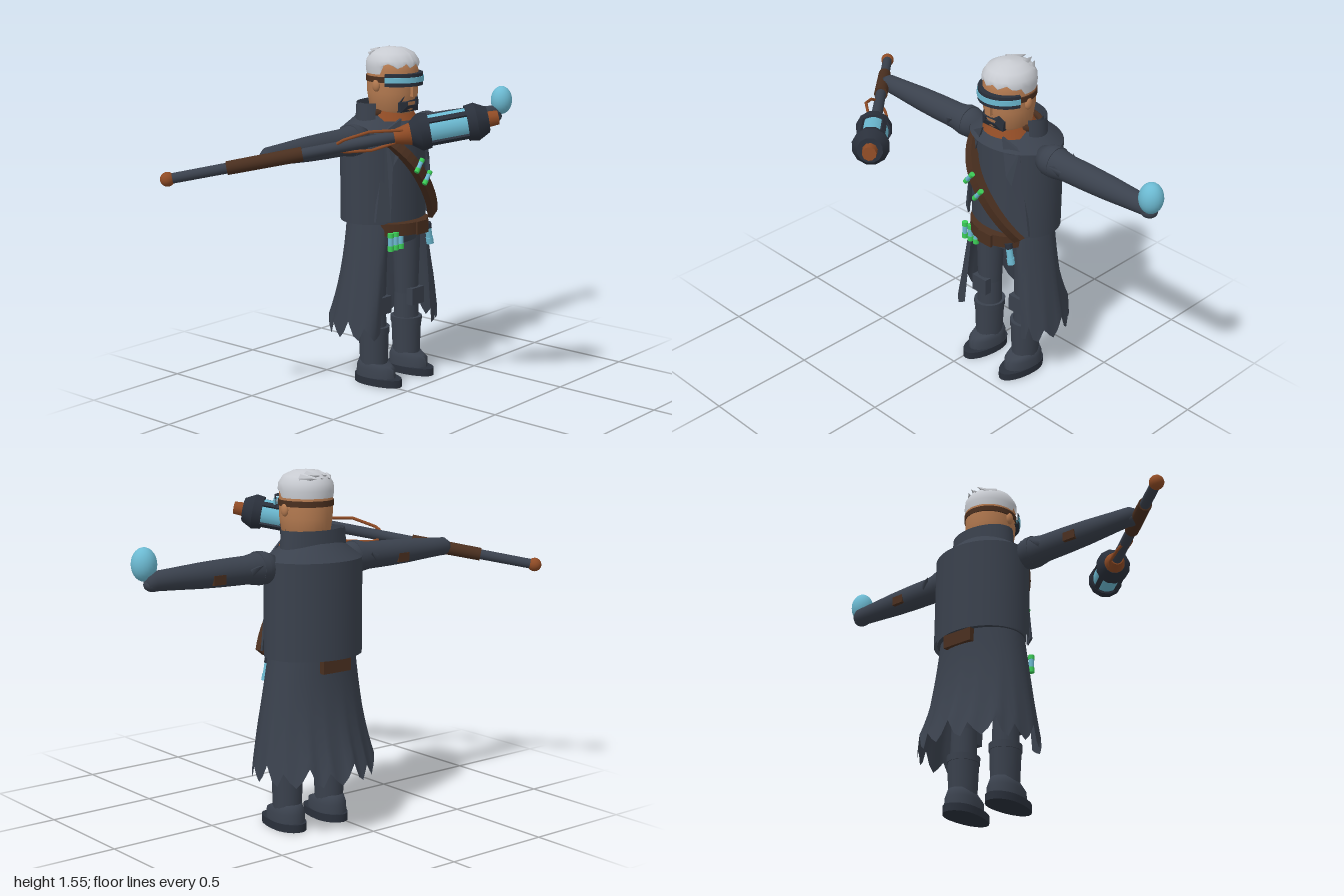
import * as THREE from 'three';

export function createModel() {
  const root = new THREE.Group();
  const mat = (name, color, side = THREE.FrontSide) => {
    const m = new THREE.MeshStandardMaterial({ color, side });
    m.name = name;
    return m;
  };
  const cloth = mat('slate cloth', 0x3a414d, THREE.DoubleSide);
  const metal = mat('dark metal', 0x2a303b);
  const skin = mat('skin', 0xb47a50);
  const copper = mat('copper', 0x8f4b25);
  const leather = mat('leather', 0x4a2f1f);
  const cyan = mat('cyan glow', 0x6cbad2);
  const green = mat('green glow', 0x3ccf58);
  const white = mat('silver hair', 0xc8cbd1, THREE.DoubleSide);

  const CX = 0.135, CZ = -0.25; // body axis
  const add = (name, geo, material, x = 0, y = 0, z = 0, parent = root) => {
    const m = new THREE.Mesh(geo, material);
    m.name = name;
    m.position.set(x, y, z);
    parent.add(m);
    return m;
  };
  const lathe = (pts, seg = 32) => new THREE.LatheGeometry(pts.map(p => new THREE.Vector2(...p)), seg);
  const box = (w, h, d) => new THREE.BoxGeometry(w, h, d);
  const cyl = (a, b, h, seg = 20, open = false, start = 0, len = Math.PI * 2) =>
    new THREE.CylinderGeometry(a, b, h, seg, 1, open, start, len);
  const ball = (rx, ry, rz) => new THREE.SphereGeometry(1, 20, 14).scale(rx, ry, rz);
  const warp = (geo, fn) => {
    const p = geo.attributes.position, v = new THREE.Vector3();
    for (let i = 0; i < p.count; i++) {
      fn(v.fromBufferAttribute(p, i));
      p.setXYZ(i, v.x, v.y, v.z);
    }
    geo.computeVertexNormals();
    return geo;
  };

  // Upper coat: vest, open shell over it, sloping yoke
  add('vest', cyl(0.21, 0.21, 0.41, 40).scale(1, 1, 0.82), cloth, CX, 0.975, CZ);
  add('coatShell', cyl(0.227, 0.227, 0.415, 40, true, 0.75, Math.PI * 2 - 1.5).scale(1, 1, 0.8), cloth, CX, 0.973, CZ);
  add('yoke', cyl(0.13, 0.225, 0.07, 40).scale(1, 1, 0.8), cloth, CX, 1.215, CZ);
  for (const s of [-1, 1]) {
    const lapel = new THREE.Shape([[0.06, 1.24], [0.14, 1.19], [0.195, 0.78], [0.14, 0.78], [0.13, 1.03], [0.105, 1.07]]
      .map(([x, y]) => new THREE.Vector2(s * x, y)));
    const geo = warp(new THREE.ExtrudeGeometry(lapel, { depth: 0.012, bevelEnabled: false }),
      v => { v.z += 0.178 * Math.sqrt(1 - (v.x / 0.24) ** 2) - (v.y > 1.18 ? 0.03 : 0); });
    add('lapel', geo, cloth, CX, 0, CZ);
  }
  // High collar, open at the front
  add('collar', cyl(0.155, 0.165, 0.13, 36, true, 0.95, Math.PI * 2 - 1.9).scale(1, 1, 0.64), cloth, CX, 1.24, CZ);
  add('collarInner', cyl(0.138, 0.148, 0.13, 36, true, 0.95, Math.PI * 2 - 1.9).scale(1, 1, 0.6), cloth, CX, 1.238, CZ);
  add('collarLining', new THREE.TorusGeometry(0.125, 0.018, 8, 32).rotateX(Math.PI / 2).scale(1, 1, 0.65), leather, CX, 1.26, CZ);
  add('scarf', cyl(0.085, 0.125, 0.07, 28), copper, CX, 1.262, -0.215);

  // Long skirt with an open front and torn hem
  const SEG = 44, gap = 0.72, H = 0.54;
  const skirt = new THREE.CylinderGeometry(1, 1, 1, SEG, 8, true, gap, Math.PI * 2 - gap * 2);
  warp(skirt, v => {
    const t = 0.5 - v.y, a = Math.atan2(v.x, v.z);
    const k = Math.round(((a + Math.PI * 2) % (Math.PI * 2) - gap) / (Math.PI * 2 - gap * 2) * SEG);
    const tear = [0, 0.03, 0.085, 0.02, 0, 0.06, 0.025][k % 7] * (Math.abs(a) < 0.9 ? 0.3 : 1);
    v.x *= 0.2 + 0.08 * t;
    v.z = v.z > 0 ? Math.min(v.z * (0.18 + 0.06 * t), 0.13) : v.z * (0.15 + 0.095 * t * t);
    v.y = 0.775 - t * H + tear * t * t;
  });
  add('coatSkirt', skirt, cloth, CX, 0, CZ);

  // Belt, buckle and rear pouch
  add('belt', cyl(0.18, 0.18, 0.055, 36).scale(1, 1, 0.99), leather, CX, 0.738, -0.222);
  add('buckle', box(0.08, 0.06, 0.012), leather, CX + 0.02, 0.738, -0.042);
  add('rearPouch', box(0.15, 0.06, 0.05), leather, CX, 0.738, -0.39);
  add('hips', cyl(0.165, 0.15, 0.08, 28).scale(1, 1, 0.7), cloth, CX, 0.7, -0.222);

  // Vials hanging from the belt
  const vial = (x, y, z, tilt, capped = true, size = 1) => {
    const g = new THREE.Group();
    g.name = 'vial';
    g.position.set(x, y, z);
    g.rotation.z = tilt;
    g.scale.setScalar(size);
    add('vialGlass', cyl(0.012, 0.012, 0.045, 12), cyan, 0, 0, 0, g);
    add('vialBase', cyl(0.014, 0.014, 0.024, 12), capped ? green : cyan, 0, -0.03, 0, g);
    add('vialCap', cyl(0.014, 0.014, 0.02, 12), capped ? green : metal, 0, 0.03, 0, g);
    root.add(g);
  };
  for (const x of [-0.015, 0.02, 0.055]) vial(x, 0.69, -0.085, 0);
  vial(0.262, 0.685, -0.09, 0.2, false, 1.25);

  // Diagonal bandolier bowed over the chest
  const strapShape = new THREE.Shape();
  strapShape.moveTo(-0.275, -0.17);
  strapShape.quadraticCurveTo(-0.18, -0.012, 0, -0.012);
  strapShape.quadraticCurveTo(0.16, -0.02, 0.275, -0.09);
  strapShape.lineTo(0.275, -0.12);
  strapShape.quadraticCurveTo(0.16, -0.055, 0, -0.055);
  strapShape.quadraticCurveTo(-0.16, -0.055, -0.25, -0.18);
  const along = new THREE.Vector3(0.34, -0.43, 0).normalize();
  const strapGeo = new THREE.ExtrudeGeometry(strapShape, { depth: 0.046, bevelEnabled: false, curveSegments: 10 }).translate(0, 0, -0.023);
  strapGeo.applyMatrix4(new THREE.Matrix4().makeBasis(along, new THREE.Vector3(0, 0, 1), new THREE.Vector3(along.y, -along.x, 0)));
  add('bandolier', strapGeo, leather, CX, 0.98, 0);
  vial(0.09, 1.035, -0.004, -0.67, true, 0.85);
  vial(0.145, 0.972, -0.004, -0.67, true, 0.85);

  // Outstretched arms and legs, mirrored about the body axis
  for (const s of [-1, 1]) {
    const arm = lathe([[0, 0.17], [0.05, 0.185], [0.068, 0.23], [0.07, 0.27], [0.06, 0.33], [0.058, 0.45],
      [0.054, 0.56], [0.045, 0.7], [0.04, 0.79], [0.025, 0.815], [0, 0.82]], 24).rotateZ(-s * Math.PI / 2);
    add('arm', arm, cloth, CX, 1.153, -0.215);
    add('shoulderCuff', cyl(0.071, 0.071, 0.03, 24).rotateZ(Math.PI / 2), cloth, CX + s * 0.262, 1.155, -0.215);
    add('elbowPatch', box(0.06, 0.04, 0.03), leather, CX + s * 0.5, 1.135, -0.258);
    for (const d of [-1, 1]) {
      const fin = add('sleeveFin', new THREE.ConeGeometry(0.022, 0.06, 4), cloth, CX + s * 0.315, 1.165, -0.215 + d * 0.062);
      fin.rotation.set(d * 0.9, 0, s * 0.8);
    }
    add('hand', ball(0.04, 0.03, 0.035), cloth, CX + s * 0.785, 1.14, -0.21);

    const x = CX + s * 0.117;
    add('thigh', cyl(0.07, 0.055, 0.42, 20), cloth, x, 0.56, -0.218);
    add('shin', cyl(0.055, 0.06, 0.2, 20), cloth, x, 0.34, -0.218);
    add('kneePad', box(0.085, 0.08, 0.04), cloth, x, 0.375, -0.165);
    add('bootShaft', cyl(0.067, 0.06, 0.2, 20).scale(1, 1, 1.1), cloth, x, 0.17, -0.218);
    add('bootCuff', cyl(0.071, 0.07, 0.03, 20).scale(1, 1, 1.08), cloth, x, 0.255, -0.218);
    const upper = lathe([[0.068, 0.03], [0.067, 0.075], [0.055, 0.115], [0, 0.12]], 24);
    warp(upper, v => {
      const f = v.z > 0;
      v.z *= f ? 1.85 : 1.25;
      if (f && v.y > 0.07) v.y -= 0.3 * v.z * (v.y > 0.1 ? 1 : 0);
    });
    add('bootUpper', upper, cloth, x, 0, -0.222);
    add('bootSole', warp(cyl(0.069, 0.069, 0.035, 24), v => { v.z *= v.z > 0 ? 2.35 : 1.45; }), metal, x, 0.0175, -0.22);
  }
  add('orb', ball(0.053, 0.069, 0.052), cyan, 0.945, 1.22, -0.187);

  // Head
  const HZ = -0.2;
  add('head', lathe([[0, 1.225], [0.07, 1.235], [0.1, 1.275], [0.111, 1.35], [0.112, 1.45], [0.095, 1.5], [0, 1.53]])
    .scale(1, 1, 1.07), skin, CX, 0, HZ);
  const hair = lathe([[0.114, 1.435], [0.117, 1.465], [0.114, 1.495], [0.095, 1.525], [0.055, 1.545], [0, 1.551]], 36);
  warp(hair, v => {
    if (v.z > 0.02 && v.y < 1.485) v.y = Math.max(v.y, 1.472 + 0.012 * Math.sin(v.x * 110));
    v.z *= 1.06;
  });
  add('hair', hair, white, CX, 0, HZ);
  for (let i = 0; i < 5; i++) {
    const tuft = add('hairTuft', new THREE.ConeGeometry(0.022, 0.075, 5), white,
      CX + (i - 2) * 0.026, 1.517 + (i % 2) * 0.012, HZ - 0.085);
    tuft.rotation.set(-1.5, 0, (i - 2) * 0.25);
  }
  for (const s of [-1, 1]) add('ear', ball(0.014, 0.028, 0.02), skin, CX + s * 0.113, 1.385, HZ);
  add('nose', box(0.03, 0.05, 0.03), skin, CX, 1.36, -0.083);
  add('headband', cyl(0.118, 0.118, 0.025, 36).scale(1, 1, 1.04), leather, CX, 1.412, HZ);

  // Visor curved round the eyes, with a glowing slit
  const arc = (r, h) => cyl(r, r, h, 24, false, -1.2, 2.4).scale(1, 1, 1.16);
  add('visor', arc(0.126, 0.056), metal, CX, 1.411, HZ);
  add('visorSlit', arc(0.129, 0.024), cyan, CX, 1.412, HZ);

  // Goatee with a gap for the mouth
  const beard = new THREE.Shape([[-0.06, 1.265], [-0.065, 1.31], [-0.045, 1.338], [0.045, 1.338], [0.065, 1.31], [0.06, 1.265]]
    .map(p => new THREE.Vector2(...p)));
  beard.holes.push(new THREE.Path([[-0.03, 1.295], [0.03, 1.295], [0.03, 1.312], [-0.03, 1.312]].map(p => new THREE.Vector2(...p))));
  add('goatee', warp(new THREE.ExtrudeGeometry(beard, { depth: 0.055, bevelEnabled: false }),
    v => { v.z -= Math.abs(v.x) * 0.5; }).translate(0, 0, -0.125), metal, CX);

  // Staff, built upright then laid through the right hand
  const staff = new THREE.Group();
  staff.name = 'staff';
  const A = new THREE.Vector3(-0.97, 1.07, -0.49), B = new THREE.Vector3(0, 1.31, 0.485);
  staff.position.copy(A);
  staff.quaternion.setFromUnitVectors(new THREE.Vector3(0, 1, 0), B.sub(A).normalize());
  root.add(staff);
  const part = (name, a, b, y0, y1, m, seg = 20) => add(name, cyl(b, a, y1 - y0, seg), m, 0, (y0 + y1) / 2, 0, staff);
  add('pommel', ball(0.031, 0.031, 0.031), copper, 0, 0, 0, staff);
  part('shaft', 0.022, 0.025, 0.01, 1.05, cloth);
  part('grip', 0.029, 0.031, 0.25, 0.57, leather);
  part('staffCollar', 0.03, 0.05, 0.96, 1.04, copper);
  part('lampNeck', 0.05, 0.08, 1.03, 1.07, metal, 12);
  part('lampLowerRing', 0.08, 0.075, 1.07, 1.11, metal, 12);
  part('lampGlass', 0.064, 0.064, 1.1, 1.29, cyan);
  part('lampUpperRing', 0.075, 0.081, 1.27, 1.31, metal, 12);
  part('lampTop', 0.081, 0.055, 1.31, 1.36, metal, 12);
  part('lampCap', 0.034, 0.03, 1.35, 1.405, copper, 10);
  for (let i = 0; i < 4; i++) {
    const side = new THREE.Group();
    side.rotation.y = i * Math.PI / 2;
    side.name = 'lampSide';
    staff.add(side);
    add('lampBar', box(0.014, 0.2, 0.022), metal, 0.066, 1.19, 0, side);
    const path = new THREE.CurvePath();
    const pts = [[0.026, 0.72], [0.045, 0.75], [0.068, 0.86], [0.036, 1.0]].map(p => new THREE.Vector3(p[0], p[1], 0));
    for (let k = 0; k < 3; k++) path.add(new THREE.LineCurve3(pts[k], pts[k + 1]));
    if (i % 2 === 0) add('prong', new THREE.TubeGeometry(path, 18, 0.007, 6), copper, 0, 0, 0, side);
  }
  return root;
}
